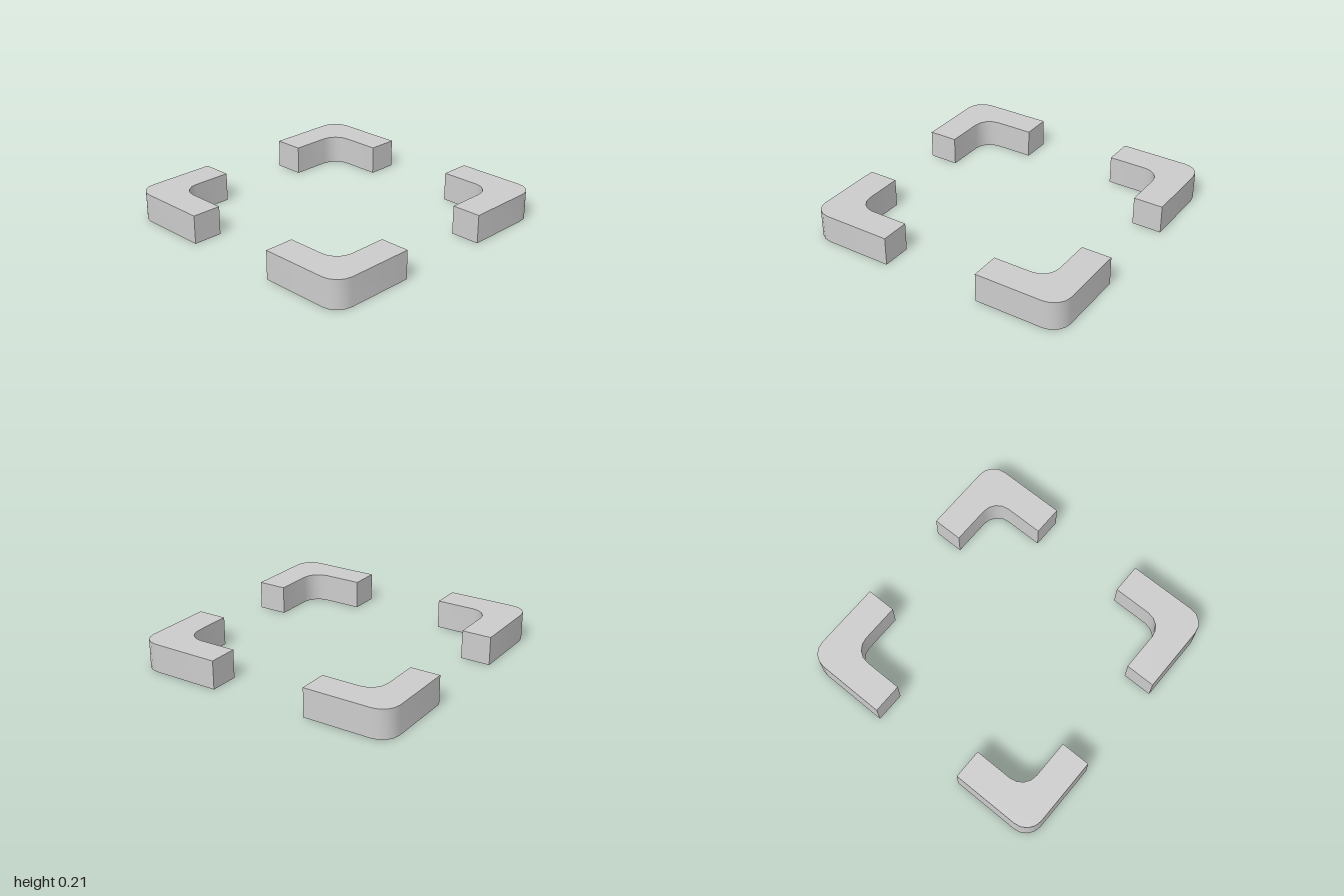
import * as THREE from 'three';
import { toCreasedNormals } from 'three/addons/utils/BufferGeometryUtils.js';

const HEIGHT = 0.21;
const END = 0.365; // where each arm stops
const OUTER = 1;
const INNER = 0.78;
const RADIUS = 0.13; // rounding of both corners

// L-shaped outline with a two-step rounded corner inside and outside
function bracketShape() {
  const shape = new THREE.Shape();
  const o = OUTER - RADIUS;
  const i = INNER - RADIUS;
  shape.moveTo(OUTER, END);
  shape.lineTo(OUTER, o);
  shape.absarc(o, o, RADIUS, 0, Math.PI / 2, false);
  shape.lineTo(END, OUTER);
  shape.lineTo(END, INNER);
  shape.lineTo(i, INNER);
  shape.absarc(i, i, RADIUS, Math.PI / 2, 0, true);
  shape.lineTo(INNER, END);
  shape.closePath();
  return shape;
}

export function createModel() {
  const group = new THREE.Group();
  group.name = 'cornerBrackets';
  const material = new THREE.MeshStandardMaterial({ color: 0xcccccc });

  const extruded = new THREE.ExtrudeGeometry(bracketShape(), {
    depth: HEIGHT, bevelEnabled: false, curveSegments: 2,
  });
  extruded.rotateX(-Math.PI / 2);
  const geometry = toCreasedNormals(extruded, Math.PI / 3);

  // One bracket in each corner, a quarter turn apart
  const names = ['backLeftBracket', 'backRightBracket', 'frontRightBracket', 'frontLeftBracket'];
  names.forEach((name, k) => {
    const bracket = new THREE.Mesh(geometry, material);
    bracket.name = name;
    bracket.rotation.y = k * Math.PI / 2;
    group.add(bracket);
  });
  return group;
}
